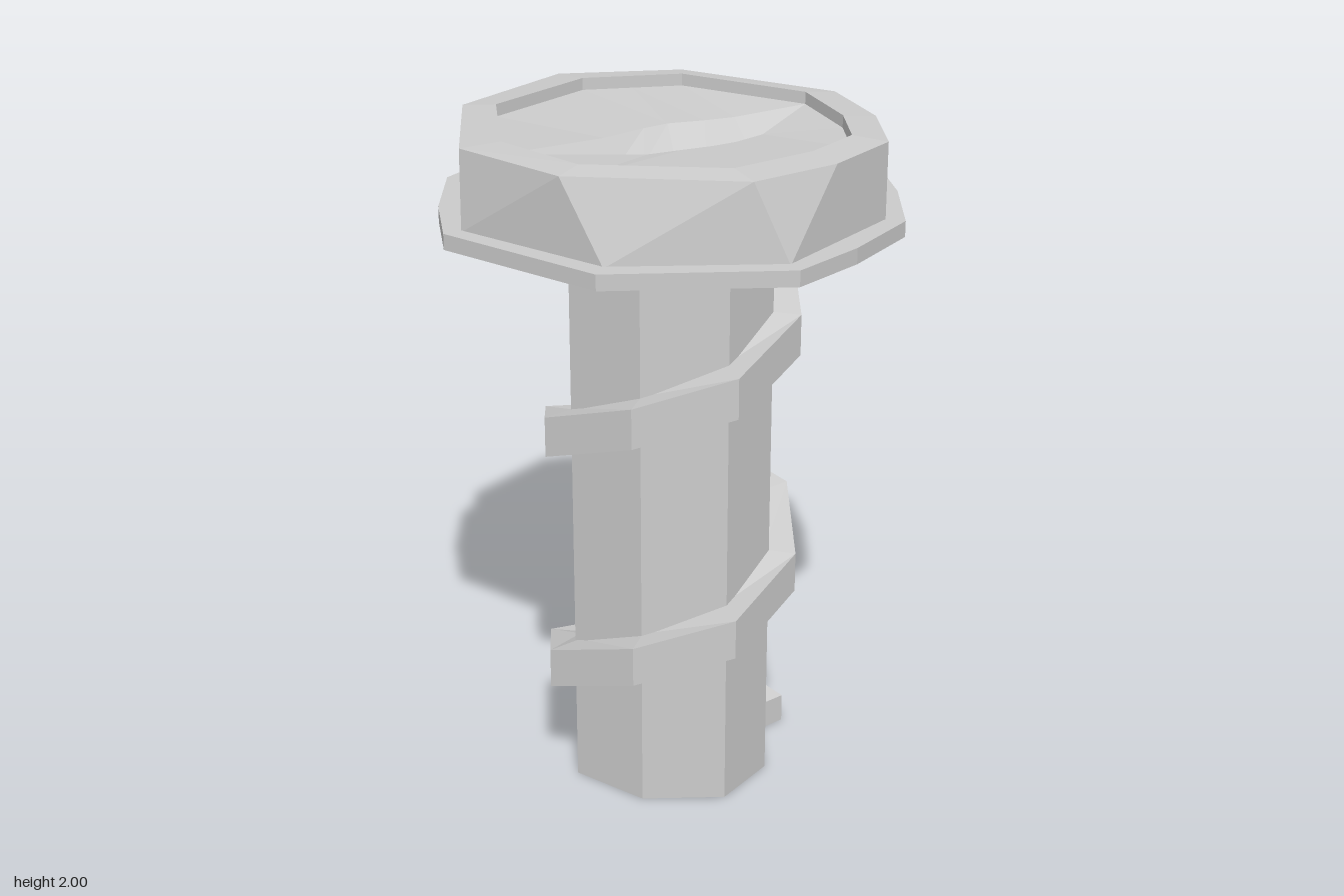
import * as THREE from 'three';

const material = new THREE.MeshStandardMaterial({ color: 0xcccccc, flatShading: true });

// Outline from its front half (+x round to -x), mirrored to the back
const mirrorZ = (half) => [...half, ...half.slice(1, -1).reverse().map(([x, z]) => [x, -z])];
const atY = (points, y) => points.map(([x, z]) => [x, y, z]);

function addMesh(group, name, geometry) {
  const mesh = new THREE.Mesh(geometry, material);
  mesh.name = name;
  group.add(mesh);
}

// Flat-faced skin through successive cross-sections of equal point count
function skin(rings, closed) {
  const pos = [];
  for (let r = 0; r + 1 < rings.length; r++) {
    const p = rings[r], q = rings[r + 1], n = p.length;
    for (let i = 0; i < (closed ? n : n - 1); i++) {
      const j = (i + 1) % n;
      pos.push(...p[i], ...q[i], ...p[j], ...p[j], ...q[i], ...q[j]);
    }
  }
  const g = new THREE.BufferGeometry();
  g.setAttribute('position', new THREE.Float32BufferAttribute(pos, 3));
  g.computeVertexNormals();
  return g;
}

// Upright prism over an outline
function prism(outline, y0, y1) {
  const shape = new THREE.Shape(outline.map(([x, z]) => new THREE.Vector2(x, -z)));
  const g = new THREE.ExtrudeGeometry(shape, { depth: y1 - y0, bevelEnabled: false });
  return g.rotateX(-Math.PI / 2).translate(0, y0, 0);
}

export function createModel() {
  const model = new THREE.Group();
  model.name = 'screw';

  // Shaft
  const shaft = mirrorZ([[0.3, 0], [0.23, 0.2], [0, 0.28], [-0.23, 0.2], [-0.3, 0]]);
  addMesh(model, 'shaft', prism(shaft, 0, 1.75));

  // Thread: a square bar climbing round the shaft, one corner per eighth turn
  const outer = mirrorZ([[0.38, 0], [0.28, 0.28], [0, 0.36], [-0.28, 0.28], [-0.38, 0]]);
  const rings = [];
  for (let s = -1; s <= 18; s++) {
    const k = (30 - s) % 8; // starts beside the back corner, runs towards -x
    const low = 0.06 + 0.74 * s / 8;
    const y0 = THREE.MathUtils.clamp(low, 0, 1.74);
    const y1 = Math.min(low + 0.12, 1.76);
    const [ix, iz] = shaft[k].map((v) => v * 0.95);
    const [ox, oz] = outer[k];
    rings.push([[ix, y0, iz], [ox, y0, oz], [ox, y1, oz], [ix, y1, iz]]);
  }
  // Close the lower end
  const mid = [0, 1, 2].map((a) => rings[0].reduce((sum, p) => sum + p[a] / 4, 0));
  rings.unshift([mid, mid, mid, mid]);
  addMesh(model, 'thread', skin(rings, true));

  // Flange under the head
  const flange = mirrorZ([[0.66, 0], [0.585, 0.25], [0.485, 0.46], [0, 0.64],
    [-0.485, 0.46], [-0.585, 0.25], [-0.66, 0]]);
  addMesh(model, 'flange', prism(flange, 1.73, 1.775));

  // Head: faceted, slightly twisted wall, then the rim and its inner lip
  const base = mirrorZ([[0.605, 0], [0.52, 0.23], [0.45, 0.42], [0, 0.58], [-0.45, 0.42], [-0.605, 0]]);
  const top = mirrorZ([[0.605, 0], [0.52, 0.23], [0.355, 0.44], [-0.13, 0.54], [-0.46, 0.39], [-0.605, 0]]);
  const lip = mirrorZ([[0.505, 0], [0.44, 0.175], [0.285, 0.375], [-0.105, 0.46], [-0.365, 0.33], [-0.505, 0]]);
  const floorY = 1.965;
  addMesh(model, 'head', skin([atY(base, 1.77), atY(top, 1.99), atY(lip, 2), atY(lip, floorY)], true));

  // Dished floor with a leaf-shaped slot running between two lip corners
  const a = [0.285, -0.375], b = [-0.365, 0.33];
  const line = (points, y) => [[a[0], floorY, a[1]], ...atY(points, y), [b[0], floorY, b[1]]];
  const rimLeft = line([[0.44, -0.175], [0.505, 0], [0.44, 0.175], [0.285, 0.375], [-0.105, 0.46]], floorY);
  const rimRight = line([[-0.105, -0.46], [-0.235, -0.395], [-0.365, -0.33], [-0.435, -0.165], [-0.505, 0]], floorY);
  const slotLeft = line([[0.23, -0.115], [0.18, -0.025], [0.13, 0.03], [0.06, 0.09], [-0.015, 0.155]], 1.945);
  const slotRight = line([[0.11, -0.255], [0.04, -0.2], [-0.05, -0.14], [-0.1, -0.075], [-0.175, 0.045]], 1.945);
  const slotBottom = line([[0.175, -0.19], [0.075, -0.1], [0, -0.05], [-0.07, 0.02], [-0.13, 0.09]], 1.87);
  const flip = (points) => [...points].reverse();
  addMesh(model, 'headFloorLeft', skin([rimLeft, slotLeft], false));
  addMesh(model, 'headFloorRight', skin([flip(rimRight), flip(slotRight)], false));
  addMesh(model, 'slotWallLeft', skin([slotLeft, slotBottom], false));
  addMesh(model, 'slotWallRight', skin([flip(slotRight), flip(slotBottom)], false));

  return model;
}
